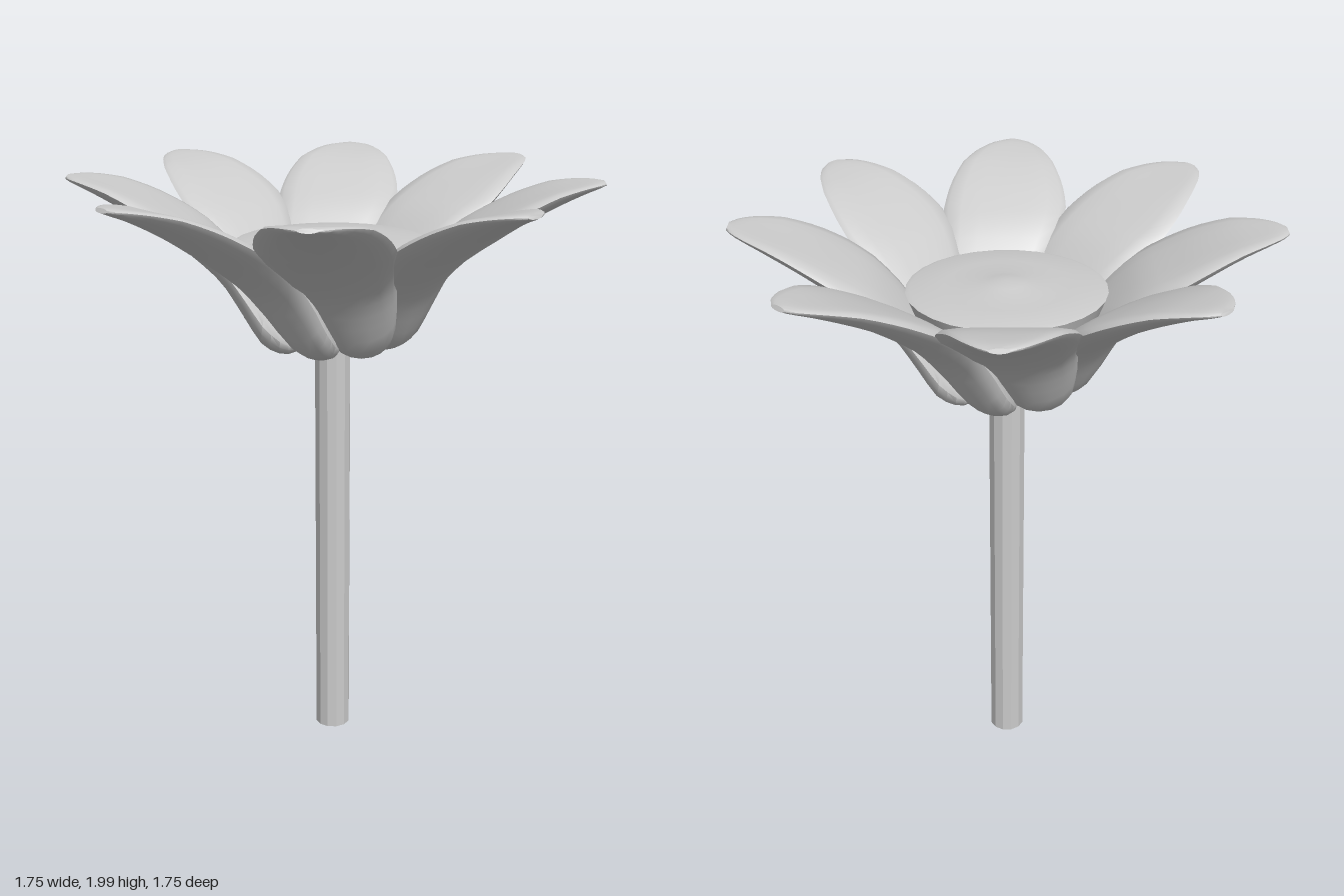
import * as THREE from 'three';
import { toCreasedNormals } from 'three/addons/utils/BufferGeometryUtils.js';

const material = new THREE.MeshStandardMaterial({ color: 0xcccccc });
const openMaterial = new THREE.MeshStandardMaterial({ color: 0xcccccc, side: THREE.DoubleSide });

// Petal stations from base to tip:
// [underside radius, height, upper side radius, height, half width, sideways shift, edge lift]
const STATIONS = [
  [0.080, 1.455, 0.090, 1.475, 0.030, 0.100, 0.000],
  [0.150, 1.432, 0.140, 1.520, 0.085, 0.100, 0.005],
  [0.220, 1.460, 0.200, 1.600, 0.110, 0.100, 0.010],
  [0.290, 1.560, 0.260, 1.680, 0.140, 0.075, 0.015],
  [0.360, 1.660, 0.325, 1.750, 0.172, 0.040, 0.020],
  [0.450, 1.740, 0.420, 1.835, 0.200, 0.015, 0.020],
  [0.540, 1.805, 0.520, 1.890, 0.212, 0.000, 0.020],
  [0.630, 1.862, 0.610, 1.932, 0.195, -0.005, 0.020],
  [0.730, 1.915, 0.710, 1.967, 0.160, -0.010, 0.020],
  [0.810, 1.953, 0.790, 1.985, 0.115, -0.018, 0.012],
  [0.855, 1.971, 0.840, 1.993, 0.072, -0.024, 0.005],
  [0.876, 1.980, 0.870, 1.994, 0.030, -0.028, 0.000],
];
const RINGS = 26, SIDES = 16;

// Linear read of a station column at parameter u in 0..1
function column(k, u) {
  const f = u * (STATIONS.length - 1);
  const i = Math.min(Math.floor(f), STATIONS.length - 2);
  return THREE.MathUtils.lerp(STATIONS[i][k], STATIONS[i + 1][k], f - i);
}

// Thick lens-section petal pointing along +z
function petalGeometry() {
  const under = new THREE.CatmullRomCurve3(STATIONS.map(s => new THREE.Vector3(0, s[1], s[0])));
  const upper = new THREE.CatmullRomCurve3(STATIONS.map(s => new THREE.Vector3(0, s[3], s[2])));
  const positions = [], index = [];
  for (let i = 0; i <= RINGS; i++) {
    const u = i / RINGS;
    const low = under.getPoint(u), high = upper.getPoint(u);
    const middle = low.clone().lerp(high, 0.5);
    const half = high.clone().sub(middle);
    const up = half.clone().normalize();
    const [w, shift, lift] = [4, 5, 6].map(k => column(k, u));
    for (let j = 0; j < SIDES; j++) {
      const a = (j / SIDES) * Math.PI * 2;
      const p = middle.clone()
        .addScaledVector(half, Math.sin(a))
        .addScaledVector(up, lift * Math.cos(a) ** 2);
      positions.push(shift + w * Math.cos(a), p.y, p.z);
    }
  }
  const at = (i, j) => i * SIDES + (j % SIDES);
  for (let i = 0; i < RINGS; i++) {
    for (let j = 0; j < SIDES; j++) {
      index.push(at(i, j), at(i, j + 1), at(i + 1, j + 1));
      index.push(at(i, j), at(i + 1, j + 1), at(i + 1, j));
    }
  }
  // Close both ends
  for (let j = 1; j < SIDES - 1; j++) {
    index.push(at(0, 0), at(0, j + 1), at(0, j));
    index.push(at(RINGS, 0), at(RINGS, j), at(RINGS, j + 1));
  }
  const g = new THREE.BufferGeometry();
  g.setAttribute('position', new THREE.Float32BufferAttribute(positions, 3));
  g.setIndex(index);
  return toCreasedNormals(g, 0.7);
}

export function createModel() {
  const flower = new THREE.Group();
  flower.name = 'flower';
  const add = (name, geometry, mat, parent = flower) => {
    const mesh = new THREE.Mesh(geometry, mat);
    mesh.name = name;
    parent.add(mesh);
    return mesh;
  };

  // Faceted hollow stem, reaching up to the centre disc
  const tube = new THREE.CylinderGeometry(0.061, 0.061, 1.78, 12, 1, true);
  add('stem', toCreasedNormals(tube, 0.4), openMaterial).position.y = 0.89;

  // Centre disc with a short skirt and a slight bump
  const profile = [
    [0.3, 1.72], [0.325, 1.785], [0.31, 1.79], [0.2, 1.797],
    [0.1, 1.80], [0.06, 1.808], [0, 1.815],
  ].map(([r, y]) => new THREE.Vector2(r, y));
  add('flowerCentre', toCreasedNormals(new THREE.LatheGeometry(profile, 28), 0.6), openMaterial);

  // Ring of eight petals
  const petals = new THREE.Group();
  petals.name = 'petals';
  flower.add(petals);
  const petal = petalGeometry();
  for (let i = 0; i < 8; i++) {
    add('petal' + (i + 1), petal, material, petals).rotation.y = (i * Math.PI) / 4;
  }
  return flower;
}
